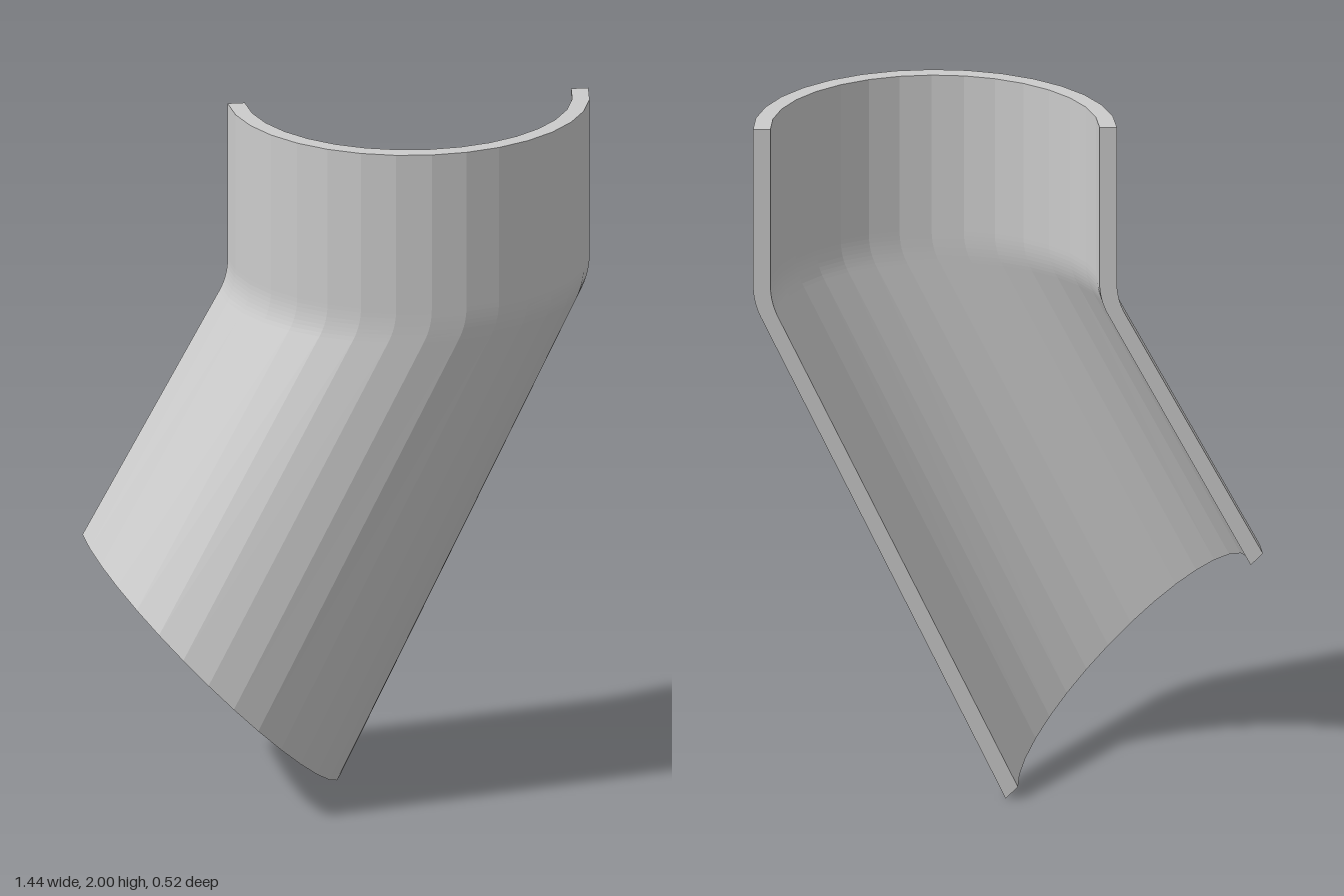
import * as THREE from 'three';

const OUTER = 0.514, INNER = 0.465, SEGMENTS = 16, BEND_STEPS = 8;

// The three key half circles of the pipe: top rim, bend and slanted lower end.
const top = (c, s) => new THREE.Vector3(0.205 + c, 2, -0.254 + s);
const bend = (c, s) => new THREE.Vector3(0.205 + c, 1.485, -0.254 + s);
const end = (c, s) => new THREE.Vector3(-0.358 + c * Math.SQRT1_2, 0.3635 - c * Math.SQRT1_2, -0.261 + s);

// One lengthwise line of the wall: straight, rounded bend, straight.
function wallLine(angle, radius) {
  const c = radius * Math.cos(angle), s = radius * Math.sin(angle);
  const a = top(c, s), b = bend(c, s), e = end(c, s);
  const before = b.clone().lerp(a, 0.1);
  const after = b.clone().add(e.clone().sub(b).setLength(0.05));
  const curve = new THREE.QuadraticBezierCurve3(before, b, after);
  return [a, ...curve.getPoints(BEND_STEPS), e];
}

function halfPipeGeometry() {
  // Cross-section loop: along the outside, then back along the inside.
  const lines = [];
  for (let j = 0; j <= SEGMENTS; j++) lines.push(wallLine(Math.PI * j / SEGMENTS, OUTER));
  for (let j = SEGMENTS; j >= 0; j--) lines.push(wallLine(Math.PI * j / SEGMENTS, INNER));

  const positions = [];
  const quad = (a, b, c, d) => {
    for (const p of [a, b, c, a, c, d]) positions.push(p.x, p.y, p.z);
  };
  const count = lines.length, last = lines[0].length - 1;

  // Outer wall, inner wall and the two long cut edges.
  for (let j = 0; j < count; j++) {
    const l = lines[j], m = lines[(j + 1) % count];
    for (let i = 0; i < last; i++) quad(l[i], m[i], m[i + 1], l[i + 1]);
  }
  // Top rim and slanted lower rim.
  for (let j = 0; j < SEGMENTS; j++) {
    const o1 = lines[j], o2 = lines[j + 1];
    const n1 = lines[count - 1 - j], n2 = lines[count - 2 - j];
    quad(n1[0], n2[0], o2[0], o1[0]);
    quad(o1[last], o2[last], n2[last], n1[last]);
  }

  const geometry = new THREE.BufferGeometry();
  geometry.setAttribute('position', new THREE.Float32BufferAttribute(positions, 3));
  geometry.computeVertexNormals();
  return geometry;
}

export function createModel() {
  const group = new THREE.Group();
  group.name = 'bentHalfPipe';
  const material = new THREE.MeshStandardMaterial({ color: 0xcccccc, flatShading: true });
  const shell = new THREE.Mesh(halfPipeGeometry(), material);
  shell.name = 'halfPipeShell';
  group.add(shell);
  return group;
}
